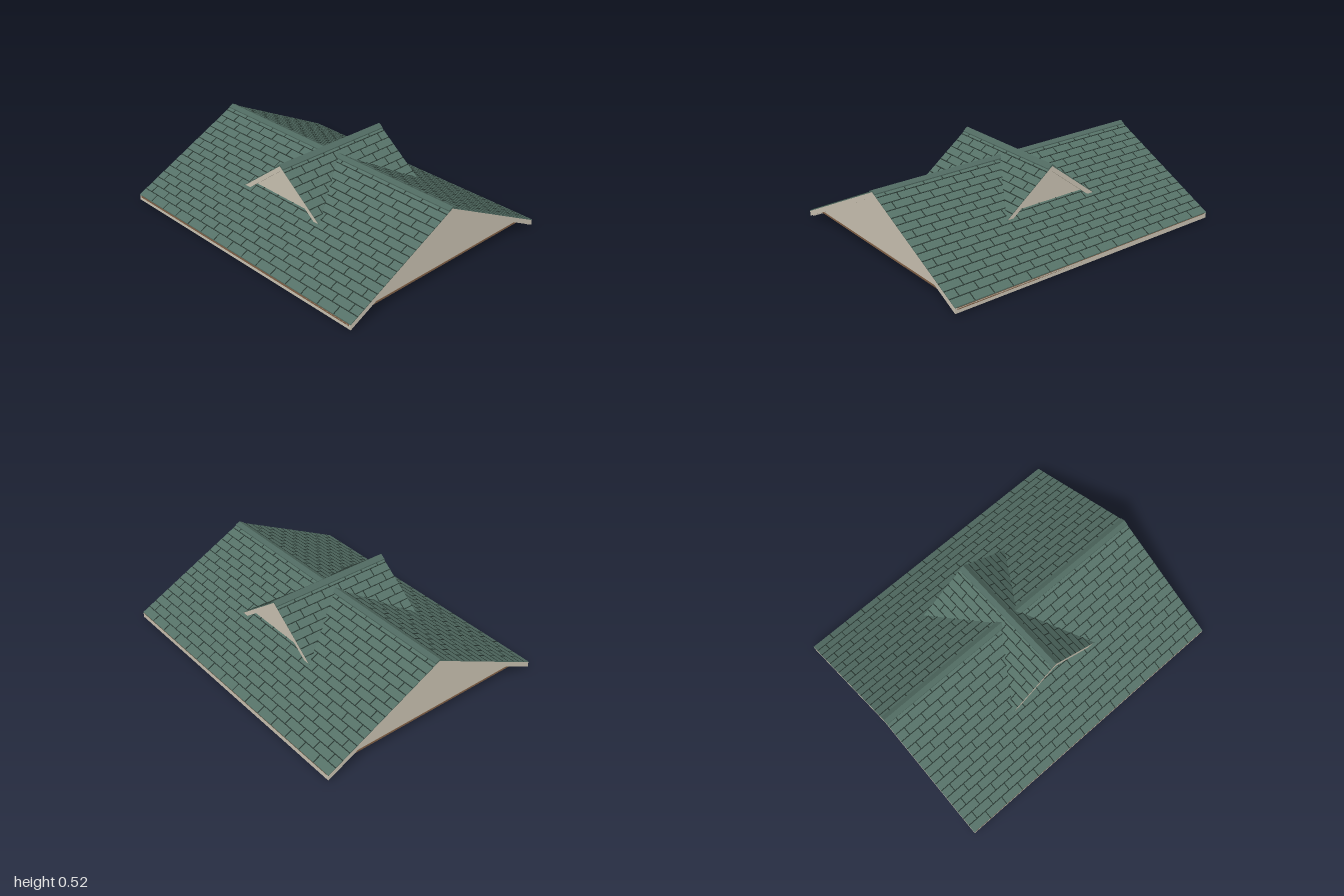
import * as THREE from 'three';
import { mergeGeometries } from 'three/addons/utils/BufferGeometryUtils.js';

const mat = (name, color) => {
  const m = new THREE.MeshStandardMaterial({ color });
  m.name = name;
  return m;
};

export function createModel() {
  const shingle = mat('shingle green', 0x567268);
  const capGreen = mat('ridge green', 0x506a61);
  const joint = mat('joint dark green', 0x2b3a34);
  const cream = mat('cream trim', 0xd0c8b7);
  const brown = mat('brown timber', 0x84644a);

  const add = (group, name, geo, material) => {
    const mesh = new THREE.Mesh(geo, material);
    mesh.name = name;
    group.add(mesh);
    return mesh;
  };

  // Polygon in x,y extruded along z, centred on z
  const prism = (points, depth, z = 0) => {
    const shape = new THREE.Shape(points.map(([x, y]) => new THREE.Vector2(x, y)));
    return new THREE.ExtrudeGeometry(shape, { depth, bevelEnabled: false }).translate(0, 0, z - depth / 2);
  };

  const box = (w, h, d, x, y, z) => new THREE.BoxGeometry(w, h, d).translate(x, y, z);

  // Complete hollow gable roof with its ridge along z
  function gableRoof(name, { span, length, ridge, eave, courses, wallBase }) {
    const g = new THREE.Group();
    g.name = name;
    const slope = (ridge - eave) / span;
    const angle = Math.atan(slope);

    // Inverted V with a constant vertical thickness
    const chevron = (half, top, thick, depth, z) => {
      const low = top - half * slope;
      return prism([
        [-half, low - thick], [0, top - thick], [half, low - thick],
        [half, low], [0, top], [-half, low],
      ], depth, z);
    };

    add(g, 'shingleLayer', chevron(span, ridge, 0.006, length), shingle);
    add(g, 'sheathing', chevron(span, ridge - 0.006, 0.014, length - 0.03), brown);
    add(g, 'ridgeCap', chevron(0.03, ridge + 0.007, 0.008, length), capGreen);

    // Course lines and staggered joints on both slopes
    const lines = [];
    const tile = 2 / 15;
    const run = span / courses;
    const onSlope = (w, d, s, x, z) => new THREE.BoxGeometry(w, 0.003, d)
      .rotateZ(-s * angle).translate(s * x, ridge - x * slope + 0.0005, z);
    for (const s of [-1, 1]) {
      for (let i = 0; i < courses; i++) {
        if (i > 0) lines.push(onSlope(0.006, length, s, i * run, 0));
        const start = -length / 2 + (i % 2 ? tile : tile / 2);
        for (let z = start; z < length / 2 - 0.01; z += tile) {
          lines.push(onSlope(run / Math.cos(angle), 0.006, s, (i + 0.5) * run, z));
        }
      }
    }
    add(g, 'shingleJoints', mergeGeometries(lines), joint);

    // Fascia boards below the eaves
    for (const s of [-1, 1]) {
      add(g, 'fascia', box(0.015, 0.03, length - 0.03, s * (span - 0.0075), eave - 0.025, 0), cream);
    }

    // Rake boards, recessed gable walls and their sills at both ends
    const wallTop = ridge - 0.018;
    const wallHalf = (wallTop - wallBase) / slope;
    for (const s of [-1, 1]) {
      add(g, 'rakeBoard', chevron(span, ridge - 0.006, 0.034, 0.015, s * (length / 2 - 0.0075)), cream);
      const z = s * (length / 2 - 0.05);
      add(g, 'gableWall', prism([[-wallHalf, wallBase], [wallHalf, wallBase], [0, wallTop]], 0.015, z), cream);
      add(g, 'gableSill', box(2 * wallHalf - 0.02, 0.012, 0.02, 0, wallBase - 0.006, z), brown);
    }
    return g;
  }

  const model = new THREE.Group();
  model.name = 'crossGableRoof';
  model.add(gableRoof('mainRoof', {
    span: 0.81, length: 2, ridge: 0.46, eave: 0.055, courses: 16, wallBase: 0.07,
  }));

  // Shorter roof crossing at right angles through the main one
  const cross = gableRoof('crossRoof', {
    span: 0.615, length: 0.866, ridge: 0.51, eave: 0.04, courses: 14, wallBase: 0.06,
  });
  cross.rotation.y = Math.PI / 2;
  model.add(cross);
  return model;
}
